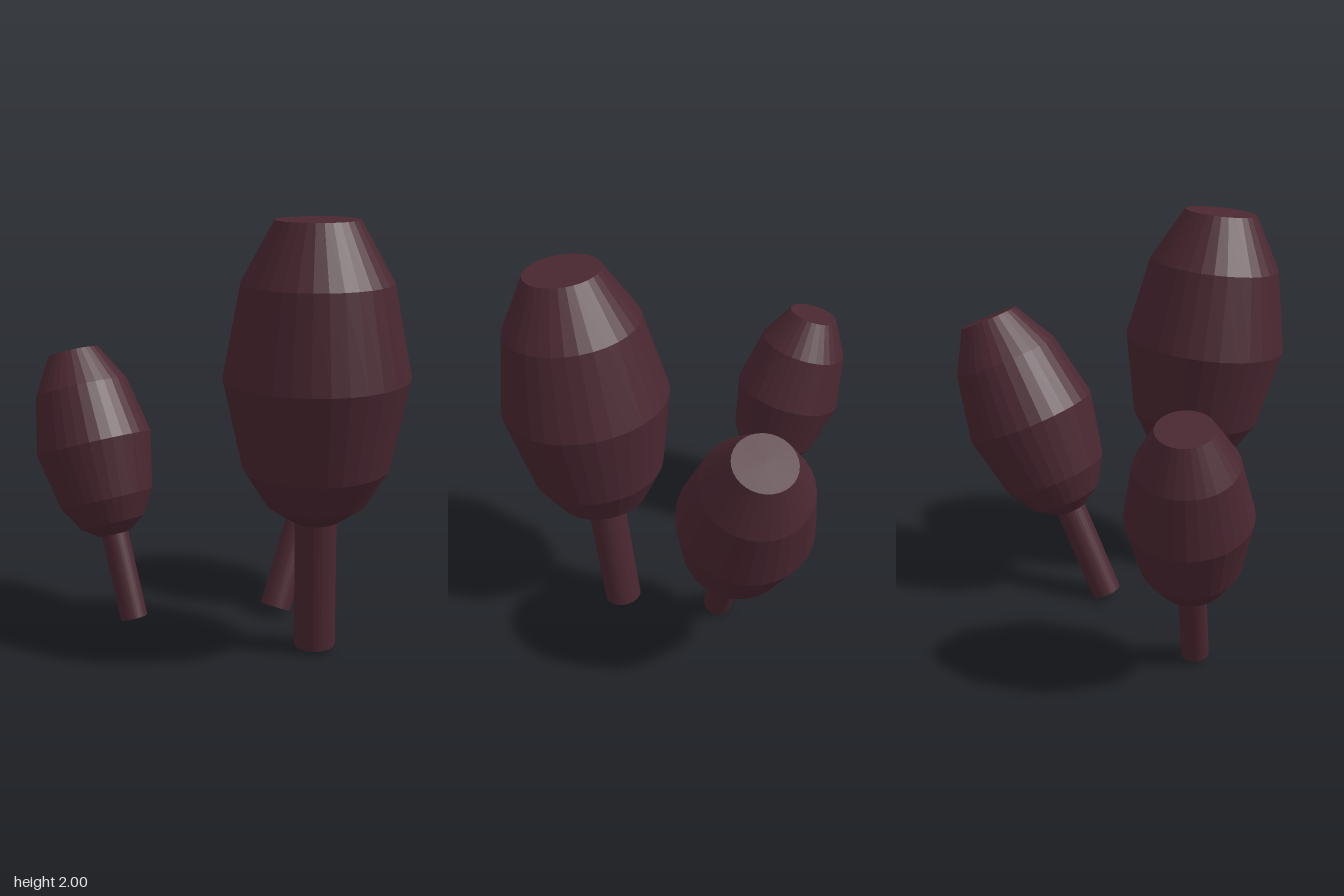
import * as THREE from 'three';

const SIDES = 32;

// Faceted lathe from [radius, height] pairs
function facetedLathe(points) {
  const profile = points.map(([r, y]) => new THREE.Vector2(r, y));
  const geometry = new THREE.LatheGeometry(profile, SIDES).toNonIndexed();
  geometry.computeVertexNormals();
  return geometry;
}

export function createModel() {
  const model = new THREE.Group();
  model.name = 'cattailCluster';

  const plum = new THREE.MeshStandardMaterial({ color: 0x4a2731 });
  plum.name = 'dark plum';

  // Full-size plant: a bulging head on a thin stem
  const length = 1.966;
  const headGeometry = facetedLathe([
    [0, 0.62], [0.11, 0.62], [0.23, 0.705], [0.333, 0.878],
    [0.416, 1.287], [0.333, 1.7], [0.185, length], [0, length],
  ]);
  const stemGeometry = facetedLathe([[0, 0], [0.096, 0], [0.096, 0.66], [0, 0.66]]);

  // Each plant leans along a line from its foot to its tip
  const plants = [
    ['large', [0.477, 0.03, 0.23], [0.603, 1.985, 0.395]],
    ['medium', [0.02, 0.033, -0.042], [0.08, 1.482, -0.685]],
    ['small', [-0.417, 0.037, 0.543], [-0.81, 1.347, 0.553]],
  ];
  for (const [size, foot, tip] of plants) {
    const base = new THREE.Vector3(...foot);
    const axis = new THREE.Vector3(...tip).sub(base);
    const plant = new THREE.Group();
    plant.name = size + 'Plant';
    plant.position.copy(base);
    plant.scale.setScalar(axis.length() / length);
    plant.quaternion.setFromUnitVectors(new THREE.Vector3(0, 1, 0), axis.normalize());

    const head = new THREE.Mesh(headGeometry, plum);
    head.name = size + 'Head';
    const stem = new THREE.Mesh(stemGeometry, plum);
    stem.name = size + 'Stem';
    plant.add(head, stem);
    model.add(plant);
  }
  return model;
}
